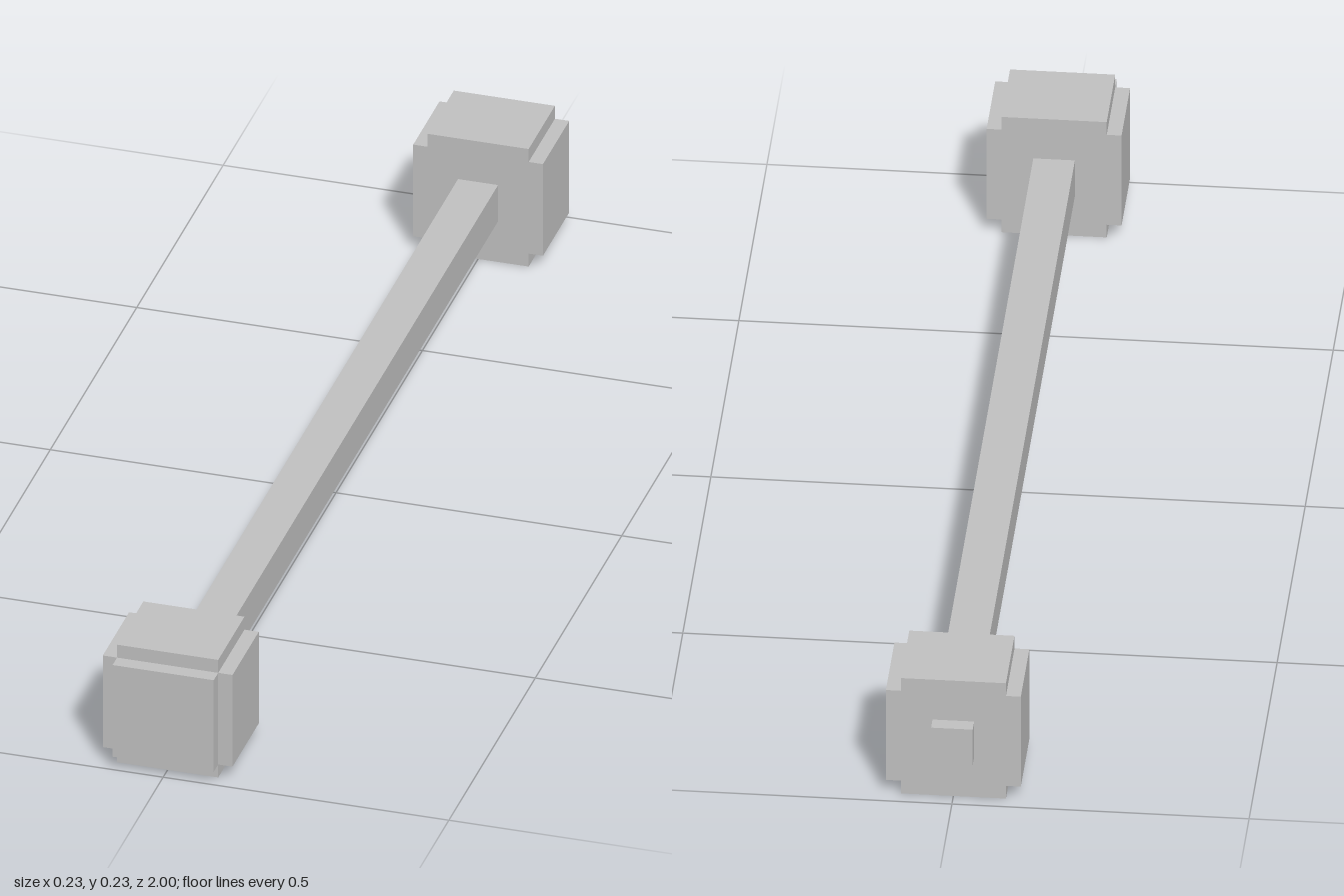
import * as THREE from 'three';

const CENTER_Y = 0.1135; // height of the bar's axis
const CORE = 0.0885; // half width of the block faces
const OUTER = 0.1135; // half width across the raised faces
const INNER_Z = 0.822, OUTER_Z = 0.974, END_Z = 1;

export function createModel() {
  const group = new THREE.Group();
  group.name = 'barbell';
  const grey = new THREE.MeshStandardMaterial({ color: 0xc0c0c0 });
  grey.name = 'plainGrey';

  const add = (name, geometry, z) => {
    const mesh = new THREE.Mesh(geometry, grey);
    mesh.name = name;
    mesh.position.set(0, CENTER_Y, z);
    group.add(mesh);
  };

  // Cross-shaped outline: a square with a raised plate on each of four sides
  const c = CORE, o = OUTER;
  const cross = new THREE.Shape([
    [c, -o], [c, -c], [o, -c], [o, c], [c, c], [c, o],
    [-c, o], [-c, c], [-o, c], [-o, -c], [-c, -c], [-c, -o],
  ].map(([x, y]) => new THREE.Vector2(x, y)));
  const block = new THREE.ExtrudeGeometry(cross, { depth: OUTER_Z - INNER_Z, bevelEnabled: false });

  // End blocks
  add('frontBlock', block, INNER_Z);
  add('backBlock', block, -OUTER_Z);

  // Raised plate closing the front block
  const capDepth = END_Z - OUTER_Z;
  add('frontPlate', new THREE.BoxGeometry(2 * c, 2 * c, capDepth), OUTER_Z + capDepth / 2);

  // Square bar, passing through the back block and ending inside the front one
  const barFront = 0.9;
  add('bar', new THREE.BoxGeometry(0.07, 0.07, END_Z + barFront), (barFront - END_Z) / 2);

  return group;
}
